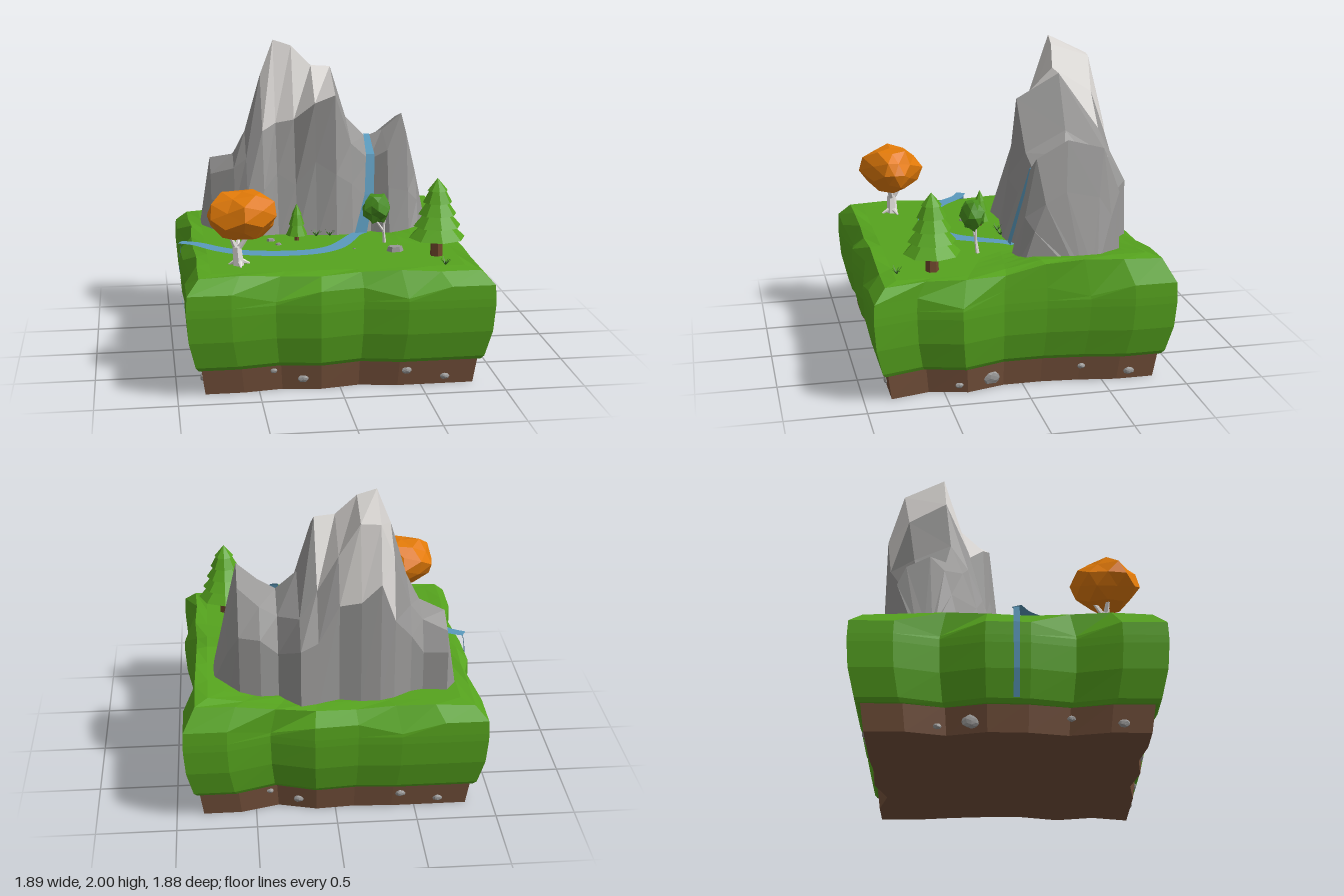
import * as THREE from 'three';

const V = (x, y, z) => new THREE.Vector3(x, y, z);
const mat = (name, color, side = THREE.FrontSide) => {
  const m = new THREE.MeshStandardMaterial({ color, side });
  m.name = name;
  return m;
};

// Flat-faced copy of a geometry
function flat(geo) {
  const g = geo.index ? geo.toNonIndexed() : geo;
  g.computeVertexNormals();
  return g;
}

// Surface through rows of points; keep(i, j) may select some of the quads
function loft(rows, closed = false, keep = () => true) {
  const n = rows[0].length, idx = [];
  for (let i = 0; i < rows.length - 1; i++) {
    for (let j = 0; j < (closed ? n : n - 1); j++) {
      if (!keep(i, j)) continue;
      const k = (j + 1) % n, a = i * n + j, b = i * n + k, c = b + n, d = a + n;
      idx.push(a, b, c, a, c, d);
    }
  }
  const g = new THREE.BufferGeometry().setFromPoints(rows.flat());
  g.setIndex(idx);
  return flat(g);
}

// Ground height: level meadow with a raised bank at the back right
const ramp = (v, a, b) => THREE.MathUtils.clamp((v - a) / (b - a), 0, 1);
const ground = (x, z) => 0.745 + 0.065 * ramp(x, 0.4, 0.75) * ramp(z, 0.2, -0.05);

// Inward dents along each side: front, right, back, left
const DENTS = [
  [0, 0, 0.04, 0, 0.05, 0, 0],
  [0, 0.07, 0, 0.08, 0.08, 0.05, 0],
  [0, 0, 0.08, 0, 0.02, 0, 0],
  [0, 0, 0.08, 0, 0.01, 0.07, 0],
];
// Square ring of half-size a; y is a number or a rule
function ring(a, y, dent = 1) {
  const pts = [];
  DENTS.forEach((side, s) => side.forEach((d, i) => {
    const u = -1 + (2 * i) / 7;
    const p = V(u * a, 0, a - d * dent).applyAxisAngle(V(0, 1, 0), (s * Math.PI) / 2);
    p.y = typeof y === 'number' ? y : y(p, s * 7 + i);
    pts.push(p);
  }));
  return pts;
}

export function createModel() {
  const group = new THREE.Group();
  const M = {
    grass: mat('grass green', 0x56a41e),
    leaf: mat('leaf green', 0x478f1e),
    dirt: mat('soil brown', 0x75513b),
    rock: mat('rock grey', 0x999897),
    peak: mat('pale peak grey', 0xd6d3d0),
    water: mat('water blue', 0x5a9abd, THREE.DoubleSide),
    orange: mat('autumn orange', 0xe27a08),
    trunk: mat('trunk brown', 0x70482c),
    birch: mat('pale bark', 0xe6e2df),
    blade: mat('blade green', 0x3a7420, THREE.DoubleSide),
  };
  const add = (name, geo, m, parent = group) => {
    const mesh = new THREE.Mesh(geo, m);
    mesh.name = name;
    parent.add(mesh);
    return mesh;
  };
  const sub = (name, x, y, z) => {
    const g = new THREE.Group();
    g.name = name;
    g.position.set(x, y, z);
    group.add(g);
    return g;
  };

  // Soil block
  add('soil', loft([ring(0, 0, 0), ring(0.83, 0, 0.8), ring(0.855, 0.18, 0.8)], true), M.dirt);

  // Grass mantle: undercut hem, bulging sides, uneven sloping rim and level top
  const rim = (p, i) => (i % 7 === 2 || i % 7 === 5 ? 0.59 : 0.655);
  const lip = (p, i) => ground(p.x, p.z) - 0.005 + 0.012 * Math.sin(i * 1.7);
  const rows = [ring(0.8, 0.165, 0.8), ring(0.87, 0.165), ring(0.888, 0.19), ring(0.928, 0.36),
    ring(0.94, 0.52), ring(0.94, 0.57), ring(0.936, rim), ring(0.86, lip, 0.15)];
  for (let a = 0.78; a > 0.05; a -= 0.1) rows.push(ring(a, (p) => ground(p.x, p.z), 0));
  rows.push(ring(0, ground(0, 0)));
  add('grassMantle', loft(rows, true), M.grass);

  // Mountain stations: x, front z, back z, crest y, shoulder depth, shoulder height, back shoulder height
  const stations = [
    [-0.78, -0.42, -0.58, 0.72, 0.2, 0.8, 0.9],
    [-0.71, -0.29, -0.68, 1.20, 0.25, 0.8, 0.85],
    [-0.56, -0.13, -0.66, 1.24, 0.28, 0.85, 0.9],
    [-0.48, -0.06, -0.68, 1.40, 0.3, 0.75, 0.85],
    [-0.37, -0.07, -0.75, 1.77, 0.26, 0.66, 0.87],
    [-0.28, -0.08, -0.78, 2.00, 0.28, 0.58, 0.9],
    [-0.16, -0.06, -0.78, 1.96, 0.25, 0.62, 0.93],
    [-0.03, -0.04, -0.75, 1.83, 0.16, 0.8, 0.85],
    [0.10, -0.02, -0.79, 1.82, 0.12, 0.86, 0.66],
    [0.21, -0.03, -0.82, 1.47, 0.15, 0.82, 0.75],
    [0.34, -0.09, -0.68, 1.34, 0.16, 0.8, 0.85],
    [0.45, 0.00, -0.70, 1.39, 0.17, 0.85, 0.9],
    [0.58, -0.01, -0.67, 1.50, 0.18, 0.86, 0.92],
    [0.65, -0.03, -0.60, 1.19, 0.25, 0.85, 0.9],
    [0.76, -0.28, -0.48, 0.72, 0.3, 0.8, 0.9],
  ];
  const profile = (t, k) => stations.map(([x, zf, zb, h, st, sk, bk], i) => {
    const tt = t(st, i % 2), kk = k(sk, i % 2, bk);
    return V(x, 0.72 + (h - 0.72) * kk, zf + (zb - zf) * tt);
  });
  const ridge = [
    profile(() => 0, () => 0),
    profile((s, o) => s * 0.4 + 0.03 * o, (s, o) => s * (0.45 + 0.12 * o)),
    profile((s) => s, (s) => s),
    profile(() => 0.48, () => 1),
    profile((s, o) => 0.83 + 0.02 * o, (s, o, b) => b),
    profile(() => 0.99, (s, o, b) => b * (0.6 + 0.1 * o)),
    profile(() => 1, () => 0),
  ];
  const isPeak = (i, j) => i >= 2 && i <= 4 && j >= 4 && j <= (i === 4 ? 6 : 7);
  add('mountain', loft(ridge, false, (i, j) => !isPeak(i, j)), M.rock);
  add('mountainPeak', loft(ridge, false, isPeak), M.peak);

  // Water: ribbons given as [centre, half-width vector]
  const ribbon = (name, list) => add(name,
    loft([list.map(([c, s]) => c.clone().add(s)), list.map(([c, s]) => c.clone().sub(s))]), M.water);
  const course = new THREE.CatmullRomCurve3([[-0.94, 0.05], [-0.84, 0.1], [-0.7, 0.25], [-0.55, 0.35],
    [-0.28, 0.405], [-0.08, 0.38], [0.05, 0.29], [0.15, 0.13], [0.22, 0.0], [0.28, -0.06]]
    .map(([x, z]) => V(x, 0, z)));
  ribbon('stream', Array.from({ length: 31 }, (_, i) => {
    const t = i / 30, c = course.getPointAt(t), d = course.getTangentAt(t);
    c.y = ground(c.x, c.z) + 0.008;
    return [c, V(d.z, 0, -d.x).multiplyScalar(0.032 + 0.028 * Math.sin(Math.PI * t))];
  }));
  ribbon('waterfall', [[0.345, 1.36, -0.35, 0.02], [0.34, 1.26, -0.15, 0.028], [0.325, 1.0, -0.08, 0.032],
    [0.26, 0.75, -0.03, 0.04]].map(([x, y, z, w]) => [V(x, y, z), V(w, 0, 0)]));
  ribbon('edgeFall', [[-0.93, 0.753], [-0.945, 0.65], [-0.945, 0.52], [-0.935, 0.36], [-0.895, 0.19]]
    .map(([x, y]) => [V(x, y, 0.05), V(0, 0, 0.018)]));

  // Irregular faceted lump, optionally narrowing toward +x
  const lump = (rx, ry, rz, seed, rough = 0.09, taper = 0) => {
    const g = new THREE.IcosahedronGeometry(1, 1), p = g.attributes.position;
    for (let i = 0; i < p.count; i++) {
      const v = V(0, 0, 0).fromBufferAttribute(p, i);
      const f = 1 + rough * Math.sin(4.1 * v.x + 3.3 * v.y + 5.7 * v.z + seed);
      const narrow = 1 - taper * Math.max(0, v.x);
      p.setXYZ(i, v.x * f * rx, v.y * f * ry, v.z * f * rz * narrow);
    }
    return flat(g);
  };
  // Tapered limb between two points
  const limb = (name, a, b, r0, r1, m, parent) => {
    const d = b.clone().sub(a);
    const mesh = add(name, flat(new THREE.CylinderGeometry(r1, r0, d.length(), 6)), m, parent);
    mesh.position.copy(a).addScaledVector(d, 0.5);
    mesh.quaternion.setFromUnitVectors(V(0, 1, 0), d.normalize());
  };

  // Pines: stacked eight-sided skirts on a trunk
  const pine = (name, x, y, z, bare, height, radius, tiers) => {
    const g = sub(name, x, y, z);
    limb('pineTrunk', V(0, -0.02, 0), V(0, bare + 0.02, 0), radius * 0.24, radius * 0.2, M.trunk, g);
    const step = (height - bare) / tiers;
    for (let i = 0; i < tiers; i++) {
      const r = radius * (1 - (i * 0.8) / tiers), last = i === tiers - 1;
      const cone = new THREE.CylinderGeometry(last ? 0 : r * 0.55, r, step * 1.04, 8);
      add('pineTier', flat(cone), M.grass, g).position.y = bare + step * (i + 0.5);
    }
  };
  pine('largePine', 0.65, 0.745, 0.54, 0.12, 0.495, 0.178, 5);
  pine('smallPine', -0.18, 0.745, 0.07, 0.04, 0.245, 0.07, 3);

  // Autumn tree with forked pale trunk and spreading roots
  const autumn = sub('autumnTree', -0.6, 0.745, 0.6);
  add('autumnCrown', lump(0.22, 0.158, 0.205, 1.2, 0.09, 0.5), M.orange, autumn).position.set(0.025, 0.32, 0.01);
  limb('birchTrunk', V(0, -0.01, 0), V(-0.01, 0.12, 0), 0.038, 0.03, M.birch, autumn);
  for (const [x, z] of [[-0.06, 0.02], [0.07, 0.03], [0.01, -0.07]]) {
    limb('birchBranch', V(-0.01, 0.09, 0), V(x, 0.21, z), 0.018, 0.011, M.birch, autumn);
    limb('birchRoot', V(0, 0.035, 0), V(x, 0, -z), 0.02, 0.006, M.birch, autumn);
  }

  // Slim green tree with a leaning stem
  const slim = sub('slimTree', 0.32, 0.745, 0.22);
  add('slimCrown', lump(0.088, 0.1, 0.076, 2.4, 0.14), M.leaf, slim).position.set(0, 0.235, 0);
  limb('slimStem', V(0.06, -0.01, -0.02), V(0.05, 0.08, -0.01), 0.013, 0.009, M.birch, slim);
  limb('slimBranch', V(0.05, 0.08, -0.01), V(0.06, 0.21, -0.01), 0.009, 0.006, M.birch, slim);
  limb('slimBranch', V(0.05, 0.08, -0.01), V(-0.02, 0.18, 0), 0.009, 0.006, M.birch, slim);

  // Loose flat rocks on the grass
  [[0.41, 0.41, 0.056], [-0.35, 0.07, 0.028], [-0.31, 0.17, 0.02], [0.16, 0.33, 0.009]].forEach(([x, z, r]) => {
    const rock = add('looseRock', flat(new THREE.CylinderGeometry(r * 0.8, r, r * 0.6, 6)), M.rock);
    rock.position.set(x, ground(x, z) + r * 0.25, z);
    rock.rotation.y = Math.PI / 2;
    rock.scale.x = 0.75;
  });

  // Grass tufts: fans of thin blades
  for (const [x, z] of [[-0.04, -0.02], [0.05, -0.02], [0.66, 0.76]]) {
    const tuft = sub('grassTuft', x, ground(x, z), z);
    for (let i = 0; i < 7; i++) {
      const a = i * 0.9, dx = Math.cos(a), dz = Math.sin(a);
      const blade = [V(-dz * 0.007, 0, dx * 0.007), V(dz * 0.007, 0, -dx * 0.007),
        V(dx * 0.04, 0.035 + 0.015 * (i % 2), dz * 0.04)];
      const g = new THREE.BufferGeometry().setFromPoints(blade);
      add('grassBlade', flat(g), M.blade, tuft);
    }
  }

  // Stones embedded around the soil: offset along the side, height, size
  const stones = [
    [[-0.41, 0.13, 0.022], [-0.23, 0.07, 0.034], [0.41, 0.1, 0.032], [0.65, 0.05, 0.03]],
    [[-0.41, 0.05, 0.026], [-0.21, 0.07, 0.06], [0.37, 0.1, 0.026], [0.67, 0.055, 0.035]],
  ];
  for (let s = 0; s < 4; s++) {
    stones[s % 2].forEach(([u, y, r], i) => {
      const j = THREE.MathUtils.clamp((u + 0.84) / 0.24, 0, 6), k = Math.floor(j), dents = DENTS[s];
      const dent = THREE.MathUtils.lerp(dents[k], dents[(k + 1) % 7], j - k) * 0.8;
      const g = sub('stoneMount', 0, 0, 0);
      g.rotation.y = (s * Math.PI) / 2;
      add('embeddedStone', lump(r, r * 0.7, 0.016, i + s), M.rock, g)
        .position.set(u, y, 0.83 + y * 0.14 - dent);
    });
  }
  return group;
}
